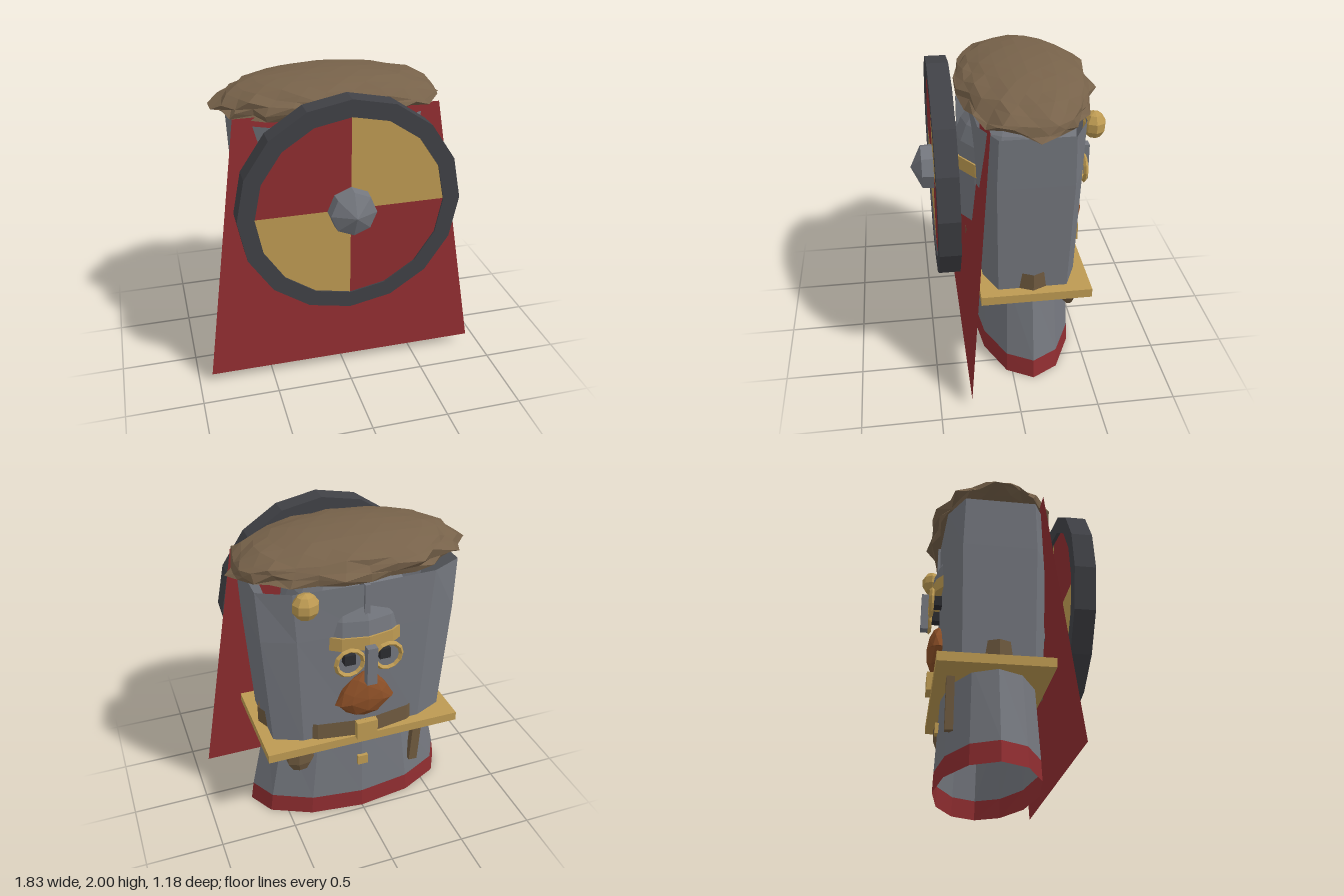
import * as THREE from 'three';
import { mergeVertices } from 'three/addons/utils/BufferGeometryUtils.js';

const mat = (name, color, double = false) => new THREE.MeshStandardMaterial({
  name, color, flatShading: true, side: double ? THREE.DoubleSide : THREE.FrontSide });

export function createModel() {
  const root = new THREE.Group();
  root.name = 'cloakedWarrior';
  const steel = mat('steel grey', 0x74777e, true), red = mat('cloth red', 0x8f2d30, true);
  const gold = mat('gold', 0xbd9a52, true), dark = mat('dark iron', 0x404146);
  const fur = mat('fur brown', 0x77624a), leather = mat('leather brown', 0x6f5a3f, true);
  const beardMat = mat('beard copper', 0x8a4e26), black = mat('eye black', 0x2b2c30);

  const add = (name, geo, m, x = 0, y = 0, z = 0, parent = root) => {
    const mesh = new THREE.Mesh(geo, m);
    mesh.name = name;
    mesh.position.set(x, y, z);
    parent.add(mesh);
    return mesh;
  };
  const box = (name, m, w, h, d, x, y, z, parent) =>
    add(name, new THREE.BoxGeometry(w, h, d), m, x, y, z, parent);

  // Surface through rings of [x, y, z] points
  const loft = (rings) => {
    const n = rings[0].length, idx = [];
    for (let r = 0; r < rings.length - 1; r++) for (let i = 0; i < n; i++) {
      const a = r * n + i, b = r * n + (i + 1) % n;
      idx.push(a, a + n, b, b, a + n, b + n);
    }
    const g = new THREE.BufferGeometry();
    g.setAttribute('position', new THREE.Float32BufferAttribute(rings.flat(2), 3));
    g.setIndex(idx);
    g.computeVertexNormals();
    return g;
  };
  const CZ = -0.132;
  const oval = (y, a, b) => Array.from({ length: 12 }, (_, i) => {
    const t = i * Math.PI / 6;
    return [a * Math.cos(t), y, CZ - b * Math.sin(t)];
  });
  // Flat-sided section: side, chamfer and middle points mirrored all round
  const slab = (y, sx, sz, cx, cz, mz) => [
    [sx, sz], [sx, -sz], [cx, -cz], [0, -mz], [-cx, -cz], [-sx, -sz],
    [-sx, sz], [-cx, cz], [0, mz], [cx, cz]].map(([x, z]) => [x, y, CZ + z]);

  // Tunic
  add('hem', loft([oval(0, 0.705, 0.337), oval(0.13, 0.685, 0.332)]), red);
  add('skirt', loft([oval(0.13, 0.685, 0.332), oval(0.66, 0.57, 0.305)]), steel);
  add('torso', loft([
    slab(0.64, 0.58, 0.22, 0.4, 0.3, 0.31), slab(1.42, 0.63, 0.235, 0.43, 0.32, 0.337),
    slab(1.75, 0.645, 0.225, 0.45, 0.325, 0.345)]), steel);

  // Belt, plate and things hung from it
  add('belt', loft([oval(0.655, 0.62, 0.372), oval(0.78, 0.62, 0.372)]), leather);
  box('beltPlate', gold, 1.31, 0.06, 0.71, 0, 0.632, -0.15);
  box('buckle', gold, 0.14, 0.125, 0.045, 0, 0.717, -0.513);
  box('tunicStud', gold, 0.07, 0.07, 0.03, 0, 0.41, -0.453);
  add('pouch', new THREE.SphereGeometry(1, 7, 5), leather, 0.42, 0.52, -0.4).scale.set(0.1, 0.125, 0.06);
  box('knife', leather, 0.06, 0.34, 0.05, -0.4, 0.44, -0.405).rotation.z = 0.06;

  // Head and helmet
  const HZ = -0.105;
  add('head', new THREE.CylinderGeometry(0.385, 0.385, 0.36, 16), steel, 0, 1.16, -0.075);
  add('helmetDome', new THREE.SphereGeometry(0.42, 16, 6, 0, Math.PI * 2, 0, Math.PI / 2), steel, 0, 1.41, HZ);
  add('helmetBand', new THREE.CylinderGeometry(0.43, 0.43, 0.09, 16), gold, 0, 1.375, HZ);
  box('helmetRidge', steel, 0.035, 0.2, 0.775, 0, 1.65, HZ);
  box('noseGuard', steel, 0.065, 0.26, 0.05, 0, 1.24, -0.567);
  for (const s of [-1, 1]) {
    add('eyeRing', new THREE.TorusGeometry(0.088, 0.016, 4, 12), gold, s * 0.125, 1.26, -0.53);
    box('eye', black, 0.07, 0.07, 0.06, s * 0.115, 1.265, -0.485);
  }

  // Beard: faceted wedge, wider and further forward near the bottom
  const beard = new THREE.IcosahedronGeometry(1, 1), bp = beard.attributes.position;
  for (let i = 0; i < bp.count; i++) {
    const x = bp.getX(i), y = bp.getY(i), z = bp.getZ(i);
    bp.setXYZ(i, x * (0.2 - 0.04 * y), y * 0.175 + 0.05 * Math.abs(x) * (y < 0 ? 1 : -1),
      z * (0.075 - 0.012 * y));
  }
  beard.computeVertexNormals();
  add('beard', beard, beardMat, 0, 0.965, -0.468);

  add('brooch', new THREE.SphereGeometry(0.085, 8, 5), gold, 0.39, 1.695, -0.515).scale.z = 0.85;

  // Shaggy fur mantle: squashed ball with seeded roughness, strongest at the rim
  let seed = 11;
  const rnd = () => (seed = (seed * 16807) % 2147483647) / 2147483647;
  let ball = new THREE.IcosahedronGeometry(1, 4);
  ball.deleteAttribute('normal');
  ball.deleteAttribute('uv');
  ball = mergeVertices(ball, 1e-4);
  const fp = ball.attributes.position;
  for (let i = 0; i < fp.count; i++) {
    const x = fp.getX(i), y = fp.getY(i), z = fp.getZ(i), rim = 1 - Math.abs(y);
    const k = 1 + (rnd() - 0.5) * 0.17 * rim;
    const sag = -0.035 * x * x * rim;
    fp.setXYZ(i, x * 0.735 * k, y * (y > 0 ? 0.155 : 0.115) + sag + (rnd() - 0.5) * 0.05 * rim, z * 0.42 * k);
  }
  ball.computeVertexNormals();
  add('furMantle', ball, fur, 0, 1.842, -0.13);

  // Cape: one flat flared sheet
  const cape = new THREE.PlaneGeometry(1, 1), cp = cape.attributes.position;
  for (let i = 0; i < 4; i++) {
    const top = cp.getY(i) > 0;
    cp.setXYZ(i, Math.sign(cp.getX(i)) * (top ? 0.66 : 0.915), top ? 1.805 : 0.065, top ? 0.142 : 0.3);
  }
  cape.computeVertexNormals();
  add('cape', cape, red);

  // Shield: iron rim, four painted quarters and a boss
  const shield = new THREE.Group();
  shield.name = 'shield';
  shield.position.set(0, 1.27, 0);
  root.add(shield);
  const ringPoints = (r) => Array.from({ length: 16 }, (_, i) =>
    new THREE.Vector2(r * Math.cos(i * Math.PI / 8), r * Math.sin(i * Math.PI / 8)));
  const rim = new THREE.Shape(ringPoints(0.708));
  rim.holes.push(new THREE.Path(ringPoints(0.6).reverse()));
  add('shieldRim', new THREE.ExtrudeGeometry(rim, { depth: 0.135, bevelEnabled: false }), dark, 0, 0, 0.32, shield);
  const pts = ringPoints(0.602);
  for (let q = 0; q < 4; q++) {
    const arc = [0, 1, 2, 3, 4].map((i) => pts[(q * 4 + i) % 16]);
    const quarter = new THREE.Shape([new THREE.Vector2(0, 0), ...arc]);
    add('shieldQuarter', new THREE.ExtrudeGeometry(quarter, { depth: 0.1, bevelEnabled: false }),
      q % 2 ? red : gold, 0, 0, 0.345, shield);
  }
  const boss = new THREE.LatheGeometry([[0.15, 0], [0.145, 0.075], [0.125, 0.085], [0, 0.145]]
    .map(([x, y]) => new THREE.Vector2(x, y)), 8);
  add('shieldBoss', boss, steel, 0, 0, 0.445, shield).rotation.x = Math.PI / 2;

  return root;
}
